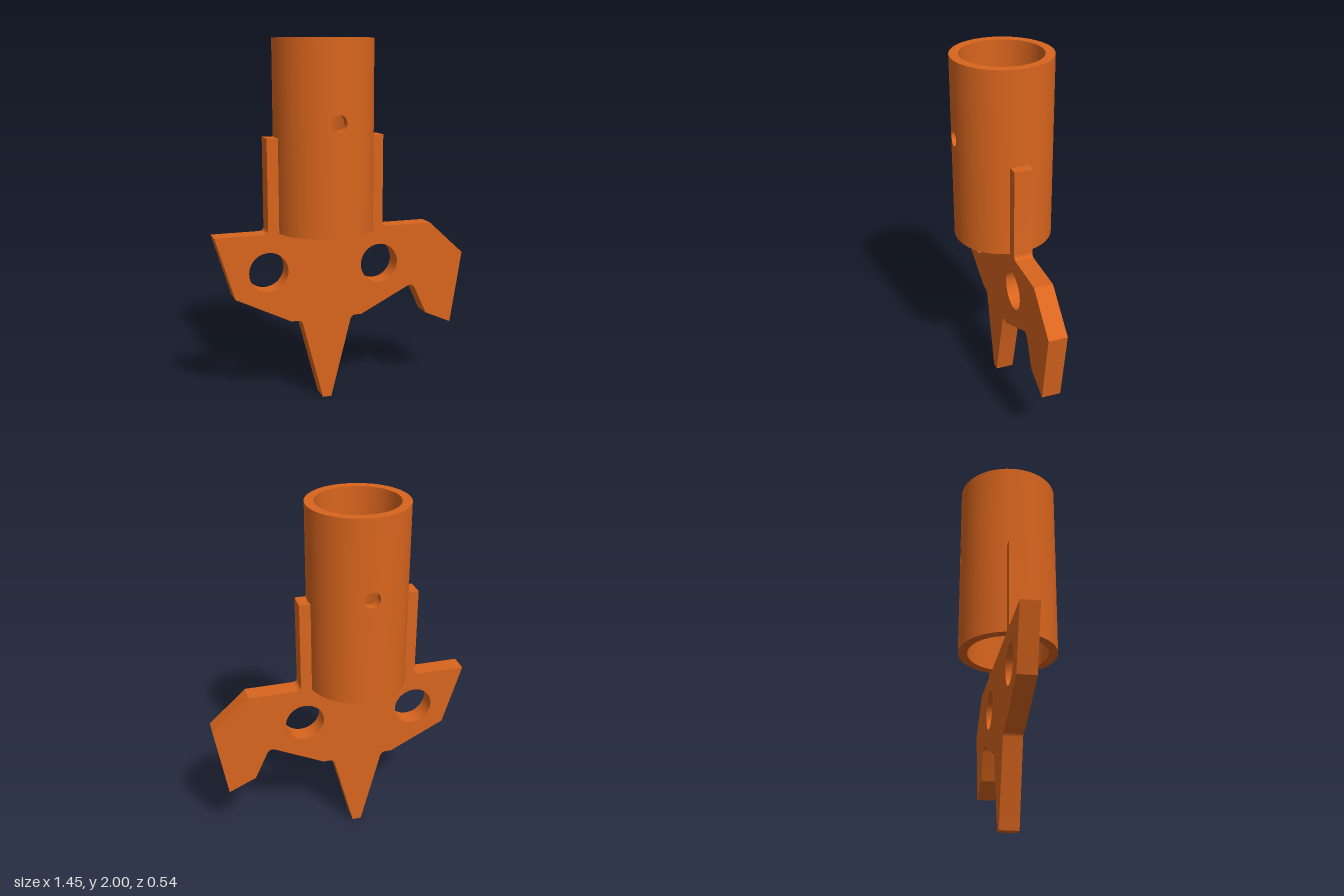
import * as THREE from 'three';
import { mergeGeometries, toCreasedNormals } from 'three/addons/utils/BufferGeometryUtils.js';

const CX = -0.105;                        // tube axis
const RO = 0.272, RI = 0.222;             // tube radii
const Y0 = 0.97, Y1 = 2;                  // tube ends
const PIN_Y = 1.57, PIN_R = 0.043;        // cross pin hole
const SEG = 64, HALF = Math.PI / 8, PATCH_H = 0.12;

// Smooth grid closed around u; point(u, v) returns [position, normal]
function grid(nu, nv, point) {
  const pos = [], nor = [], uv = [], idx = [];
  for (let j = 0; j <= nv; j++) for (let i = 0; i <= nu; i++) {
    const [p, n] = point(i, j / nv);
    pos.push(...p); nor.push(...n); uv.push(i / nu, j / nv);
    if (i < nu && j < nv) {
      const a = j * (nu + 1) + i, b = a + nu + 1;
      idx.push(a, b, a + 1, b, b + 1, a + 1);
    }
  }
  const g = new THREE.BufferGeometry();
  g.setAttribute('position', new THREE.Float32BufferAttribute(pos, 3));
  g.setAttribute('normal', new THREE.Float32BufferAttribute(nor, 3));
  g.setAttribute('uv', new THREE.Float32BufferAttribute(uv, 2));
  g.setIndex(idx);
  return g;
}

// Revolved straight strip between two profile points
function strip(r0, y0, r1, y1, start = 0, length = Math.PI * 2) {
  const n = Math.round(SEG * length / (Math.PI * 2));
  return new THREE.LatheGeometry([new THREE.Vector2(r0, y0), new THREE.Vector2(r1, y1)], n, start, length);
}

const pinAngle = s => -Math.PI / 4 + s / 32 * Math.PI * 2;

// Curved square of tube wall with the pin hole in it
function holePatch(r, sign) {
  const corners = [[1, -1], [1, 1], [-1, 1], [-1, -1]];
  return grid(32, 6, (s, v) => {
    const t = sign > 0 ? v : 1 - v;
    const k = Math.floor(s / 8) % 4, f = (s % 8) / 8;
    const a = corners[k], b = corners[(k + 1) % 4];
    const phi = THREE.MathUtils.lerp(Math.asin(PIN_R * Math.cos(pinAngle(s)) / r), HALF * (a[0] + (b[0] - a[0]) * f), t);
    const y = THREE.MathUtils.lerp(PIN_R * Math.sin(pinAngle(s)), PATCH_H * (a[1] + (b[1] - a[1]) * f), t);
    const sx = Math.sin(phi), cz = Math.cos(phi);
    return [[r * sx, PIN_Y + y, r * cz], [sign * sx, 0, sign * cz]];
  });
}

// Bore of the pin hole through one wall
function pinBore() {
  return grid(32, 1, (s, v) => {
    const c = Math.cos(pinAngle(s)), d = Math.sin(pinAngle(s)), x = PIN_R * c;
    const r = v ? RO : RI;
    return [[x, PIN_Y + PIN_R * d, Math.sqrt(r * r - x * x)], [-c, -d, 0]];
  });
}

function tubeGeometry() {
  const lo = PIN_Y - PATCH_H, hi = PIN_Y + PATCH_H;
  const parts = [strip(RI, Y0, RO, Y0), strip(RO, Y1, RI, Y1)];
  for (const [a, b] of [[Y0, lo], [hi, Y1]]) parts.push(strip(RO, a, RO, b), strip(RI, b, RI, a));
  for (const turn of [0, Math.PI]) {
    const arc = [turn + HALF, Math.PI - 2 * HALF];
    parts.push(strip(RO, lo, RO, hi, ...arc), strip(RI, hi, RI, lo, ...arc));
    for (const g of [holePatch(RO, 1), holePatch(RI, -1), pinBore()]) parts.push(g.rotateY(turn));
  }
  return mergeGeometries(parts).translate(CX, 0, 0);
}

// Flat blade with spike, hook, two round holes and two ears beside the tube
function bladeGeometry() {
  const s = new THREE.Shape();
  s.moveTo(-0.13, 0);
  s.lineTo(-0.08, 0);
  s.lineTo(0.034, 0.445);
  s.quadraticCurveTo(0.04, 0.47, 0.065, 0.47);
  s.lineTo(0.1, 0.47);
  s.lineTo(0.38, 0.608);
  s.quadraticCurveTo(0.412, 0.623, 0.428, 0.59);
  s.lineTo(0.5, 0.435);
  s.lineTo(0.655, 0.365);
  s.lineTo(0.722, 0.78);
  s.lineTo(0.515, Y0);
  s.lineTo(0.25, Y0);
  s.quadraticCurveTo(0.223, Y0, 0.223, 0.997);
  s.lineTo(0.223, 1.483);
  s.lineTo(CX + 0.25, 1.483);
  s.lineTo(CX + 0.25, Y0);
  s.lineTo(CX - 0.25, Y0);
  s.lineTo(CX - 0.25, 1.483);
  s.lineTo(-0.433, 1.483);
  s.lineTo(-0.433, 0.997);
  s.quadraticCurveTo(-0.433, Y0, -0.46, Y0);
  s.lineTo(-0.724, Y0);
  s.lineTo(-0.62, 0.625);
  s.lineTo(-0.31, 0.47);
  s.lineTo(-0.275, 0.47);
  s.quadraticCurveTo(-0.25, 0.47, -0.244, 0.445);
  s.closePath();
  for (const x of [-0.433, 0.205]) {
    const hole = new THREE.Path();
    hole.absarc(x, 0.76, 0.109, 0, Math.PI * 2, true);
    s.holes.push(hole);
  }
  const g = new THREE.ExtrudeGeometry(s, { depth: 0.104, bevelEnabled: false, curveSegments: 20 });
  return toCreasedNormals(g.translate(0, 0, -0.052), 0.4);
}

export function createModel() {
  const model = new THREE.Group();
  model.name = 'spikedToolHead';
  const material = new THREE.MeshStandardMaterial({ color: 0xd9651e });
  for (const [name, geometry] of [['socketTube', tubeGeometry()], ['blade', bladeGeometry()]]) {
    const mesh = new THREE.Mesh(geometry, material);
    mesh.name = name;
    model.add(mesh);
  }
  return model;
}
